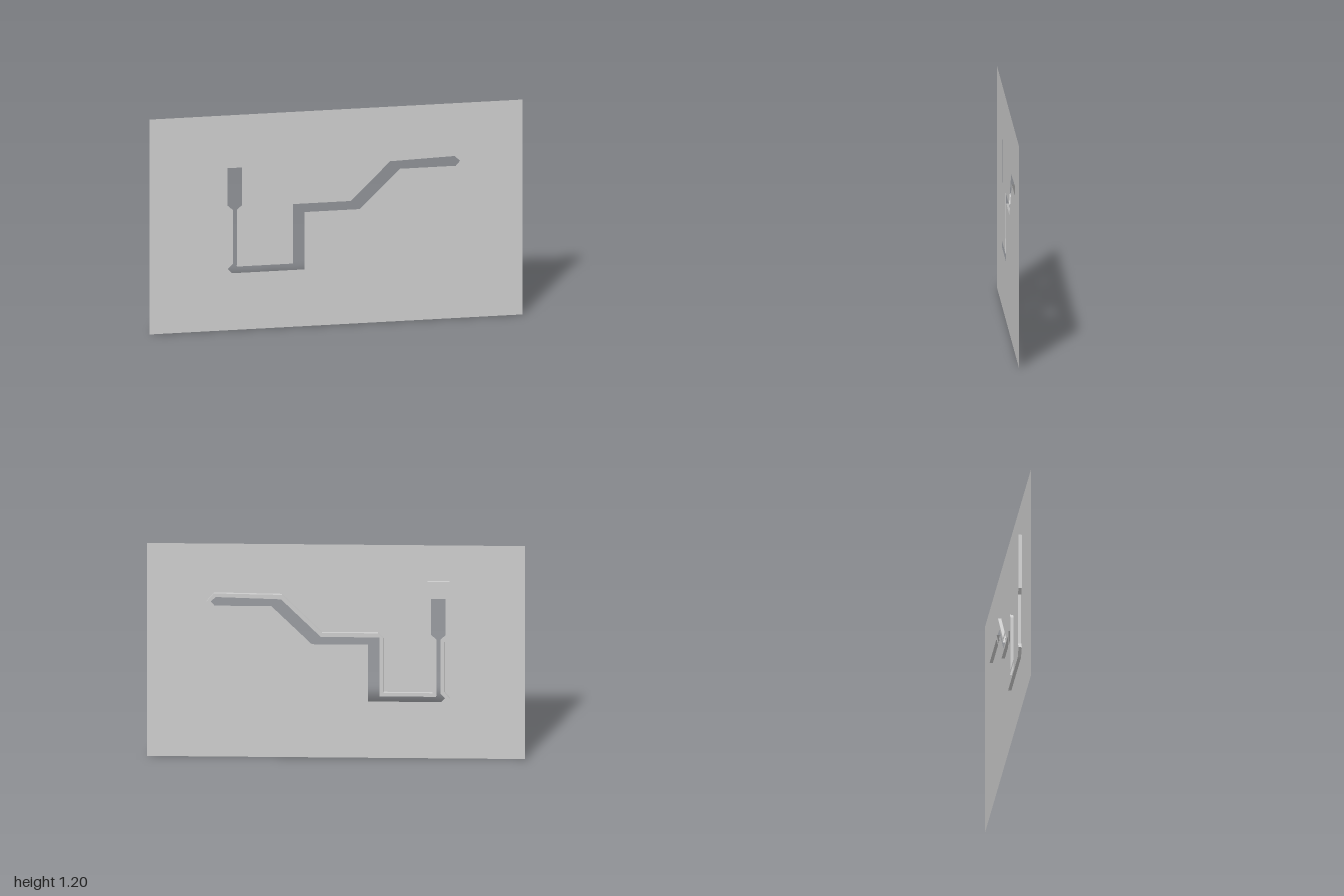
import * as THREE from 'three';

const DEPTH = 0.018;
const toPoints = (pairs) => pairs.map(([x, y]) => new THREE.Vector2(x, y));

// Outline of the slot: wide socket, thin neck, stepped channel, pointed end
const slot = toPoints([
  [-0.58, 0.905], [-0.503, 0.905], [-0.503, 0.695], [-0.53, 0.67],
  [-0.53, 0.353], [-0.23, 0.353], [-0.23, 0.685], [0.08, 0.685],
  [0.29, 0.895], [0.635, 0.905], [0.665, 0.877], [0.642, 0.85],
  [0.342, 0.85], [0.128, 0.637], [-0.17, 0.637], [-0.17, 0.317],
  [-0.556, 0.317], [-0.58, 0.343], [-0.553, 0.37], [-0.553, 0.67], [-0.58, 0.695],
]);

// Outer outline of the raised rim, taller above the socket
const rimOutline = toPoints([
  [-0.6, 1.0], [-0.485, 1.0], [-0.485, 0.688], [-0.51, 0.662],
  [-0.51, 0.373], [-0.25, 0.373], [-0.25, 0.68], [-0.222, 0.708], [0.073, 0.708],
  [0.285, 0.92], [0.645, 0.925], [0.685, 0.877], [0.648, 0.83],
  [0.35, 0.83], [0.136, 0.618], [-0.15, 0.618], [-0.15, 0.3],
  [-0.565, 0.3], [-0.602, 0.343], [-0.575, 0.377], [-0.575, 0.662], [-0.6, 0.688],
]);

function withSlot(outline) {
  const shape = new THREE.Shape(outline);
  shape.holes.push(new THREE.Path(slot));
  return shape;
}

export function createModel() {
  const group = new THREE.Group();
  group.name = 'slottedPanel';

  // Thin front sheet
  const sheet = new THREE.Mesh(
    new THREE.ShapeGeometry(withSlot(toPoints([[-1, 0], [1, 0], [1, 1.2], [-1, 1.2]]))),
    new THREE.MeshStandardMaterial({ color: 0xcccccc, side: THREE.DoubleSide }),
  );
  sheet.name = 'panelSheet';
  sheet.position.z = DEPTH / 2;
  group.add(sheet);

  // Raised rim around the slot, on the back of the sheet
  const rim = new THREE.Mesh(
    new THREE.ExtrudeGeometry(withSlot(rimOutline), { depth: DEPTH - 0.0005, bevelEnabled: false }),
    new THREE.MeshStandardMaterial({ color: 0xcccccc }),
  );
  rim.name = 'slotRim';
  rim.position.z = -DEPTH / 2;
  group.add(rim);

  return group;
}
